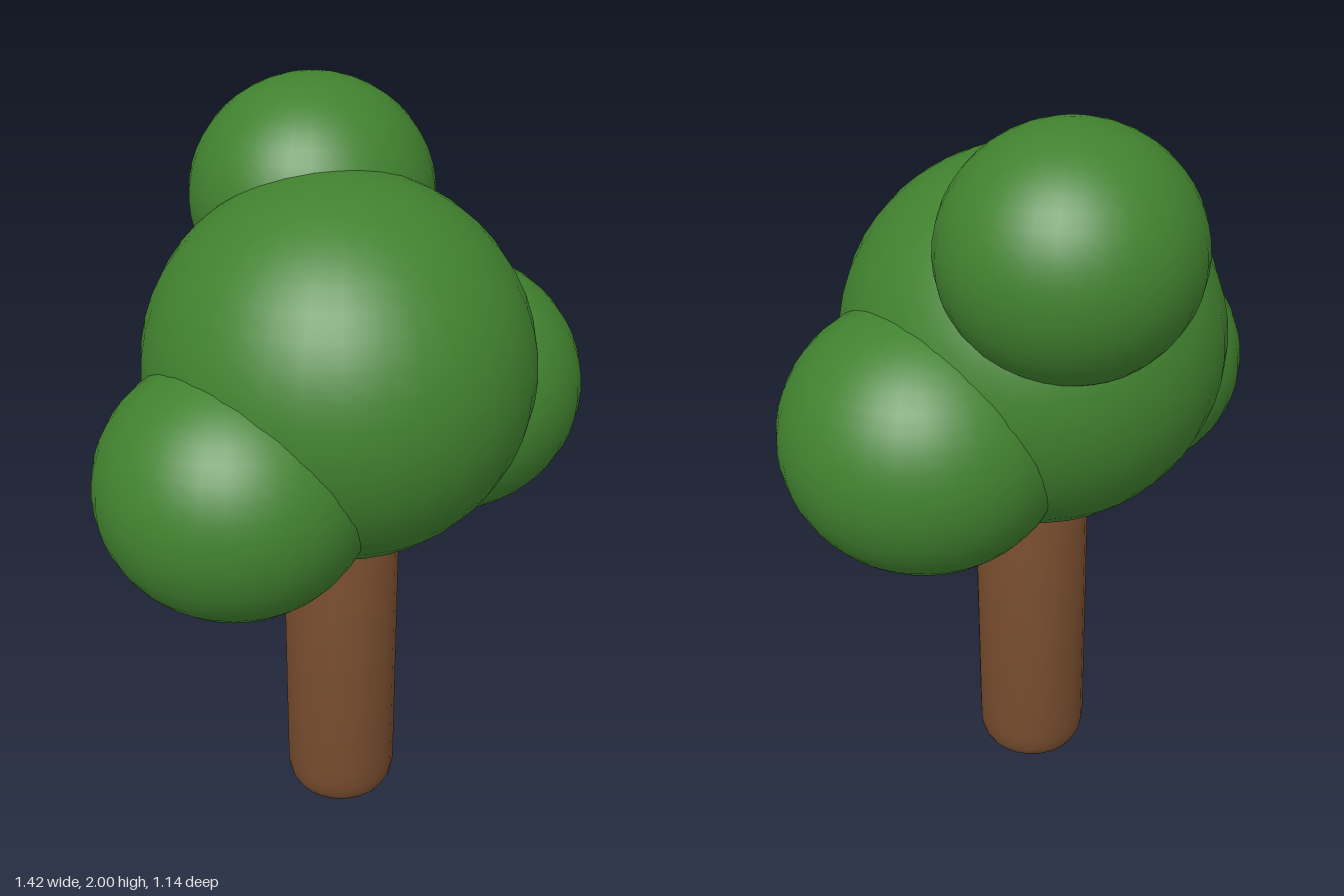
import * as THREE from 'three';

export function createModel() {
  const tree = new THREE.Group();
  tree.name = 'tree';

  const leafGreen = new THREE.MeshStandardMaterial({ color: 0x41822f });
  leafGreen.name = 'leafGreen';
  const barkBrown = new THREE.MeshStandardMaterial({ color: 0x754b2d });
  barkBrown.name = 'barkBrown';

  // Trunk: near-straight post with a rounded foot, its top buried in the crown
  const profile = [
    [0, 0.004], [0.07, 0.004], [0.115, 0.008], [0.135, 0.018], [0.147, 0.04],
    [0.153, 0.075], [0.154, 0.12], [0.157, 0.94], [0, 0.96],
  ].map(([r, y]) => new THREE.Vector2(r, y));
  const trunk = new THREE.Mesh(new THREE.LatheGeometry(profile, 24), barkBrown);
  trunk.name = 'trunk';
  trunk.position.set(-0.015, 0, 0.055);
  tree.add(trunk);

  // Crown: slightly squashed balls of foliage
  const ball = new THREE.SphereGeometry(1, 32, 24);
  const clumps = [
    ['mainFoliage', [-0.022, 1.342, 0.055], [0.5, 0.493, 0.513]],
    ['topFoliage', [0.037, 1.69, -0.255], [0.324, 0.31, 0.317]],
    ['leftFoliage', [0.335, 1.184, -0.048], [0.371, 0.35, 0.372]],
    ['rightFoliage', [-0.36, 1.14, 0.2], [0.35, 0.33, 0.351]],
  ];
  for (const [name, position, radii] of clumps) {
    const clump = new THREE.Mesh(ball, leafGreen);
    clump.name = name;
    clump.position.set(...position);
    clump.scale.set(...radii);
    tree.add(clump);
  }

  return tree;
}
